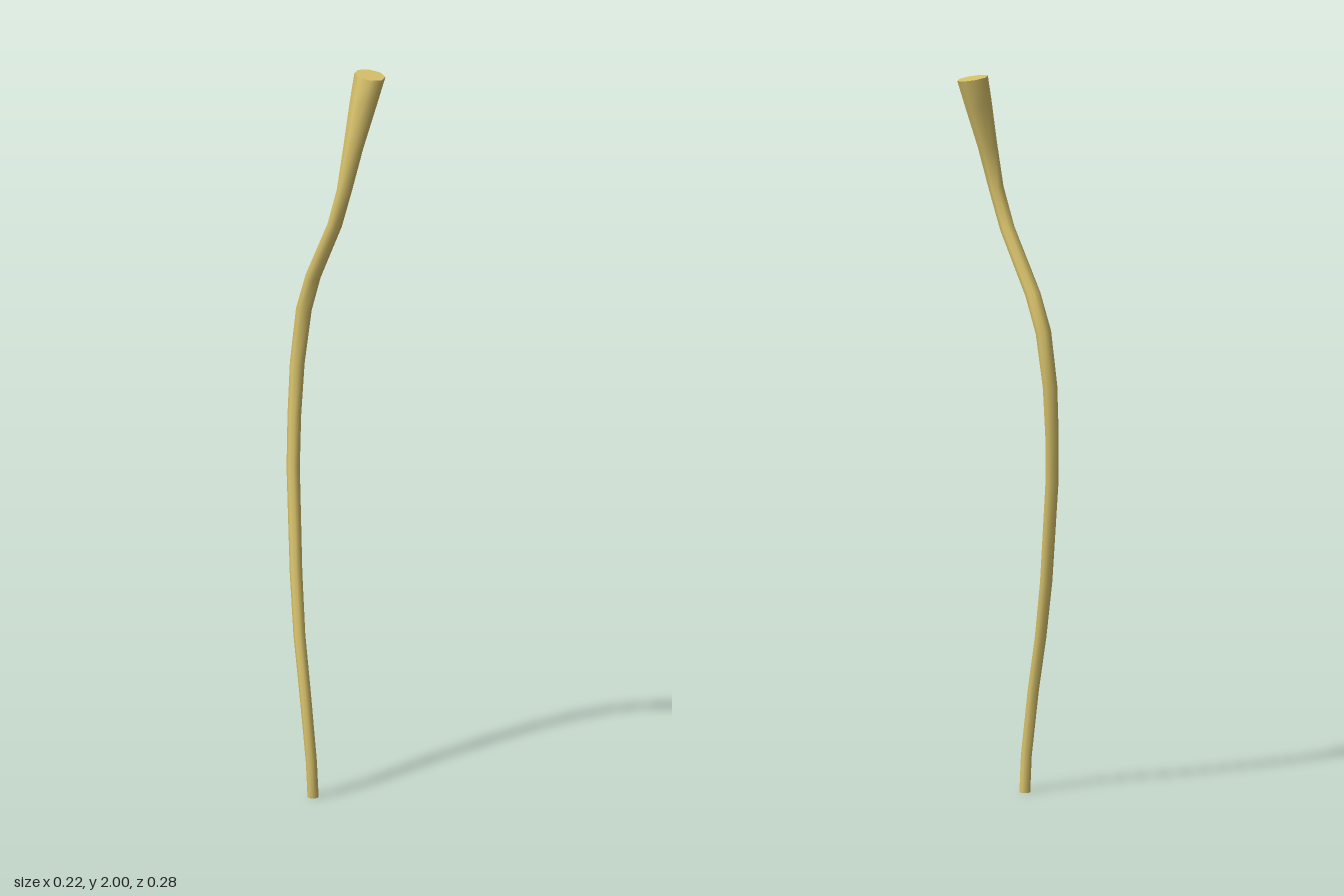
import * as THREE from 'three';
import { toCreasedNormals } from 'three/addons/utils/BufferGeometryUtils.js';

// Centreline rings from the foot upwards: x, y, z, radius
const RINGS = [
  [-0.093, 0, 0.034, 0.015],
  [-0.099, 0.1, 0.033, 0.015],
  [-0.097, 0.28, 0.01, 0.0155],
  [-0.082, 0.44, -0.024, 0.016],
  [-0.055, 0.6, -0.059, 0.017],
  [-0.018, 0.88, -0.101, 0.018],
  [0.003, 1.02, -0.115, 0.0185],
  [0.022, 1.16, -0.121, 0.02],
  [0.033, 1.31, -0.107, 0.0215],
  [0.028, 1.41, -0.07, 0.021],
  [0.003, 1.575, 0.028, 0.02],
  [-0.004, 1.68, 0.068, 0.0205],
  [0.012, 1.8, 0.086, 0.027],
  [0.046, 1.92, 0.093, 0.037],
  [0.067, 1.993, 0.098, 0.0425],
];

export function createModel() {
  const last = RINGS.length - 1;
  const up = new THREE.Vector3(0, 1, 0);
  const centres = RINGS.map(([x, y, z]) => new THREE.Vector3(x, y, z));

  // Each ring lies across the path; the foot is level and the top leans forward
  const turns = centres.map((c, i) => {
    let dir = up.clone();
    if (i === last) dir.set(0.03, 1, 0.17);
    else if (i > 0) {
      const before = c.clone().sub(centres[i - 1]).normalize();
      dir = centres[i + 1].clone().sub(c).normalize().add(before);
    }
    return new THREE.Quaternion().setFromUnitVectors(up, dir.normalize());
  });

  // Eight-sided closed cylinder bent along the path
  const geometry = new THREE.CylinderGeometry(1, 1, 1, 8, last);
  const pos = geometry.attributes.position;
  const p = new THREE.Vector3();
  for (let v = 0; v < pos.count; v++) {
    const i = Math.round((pos.getY(v) + 0.5) * last);
    p.set(pos.getX(v), 0, pos.getZ(v)).multiplyScalar(RINGS[i][3]);
    p.applyQuaternion(turns[i]).add(centres[i]);
    pos.setXYZ(v, p.x, p.y, p.z);
  }

  // Smooth sides with sharp rims
  const stem = new THREE.Mesh(
    toCreasedNormals(geometry, 1.0),
    new THREE.MeshStandardMaterial({ color: 0xd9c36c })
  );
  stem.name = 'stem';

  const model = new THREE.Group();
  model.name = 'windingStem';
  model.add(stem);
  return model;
}
